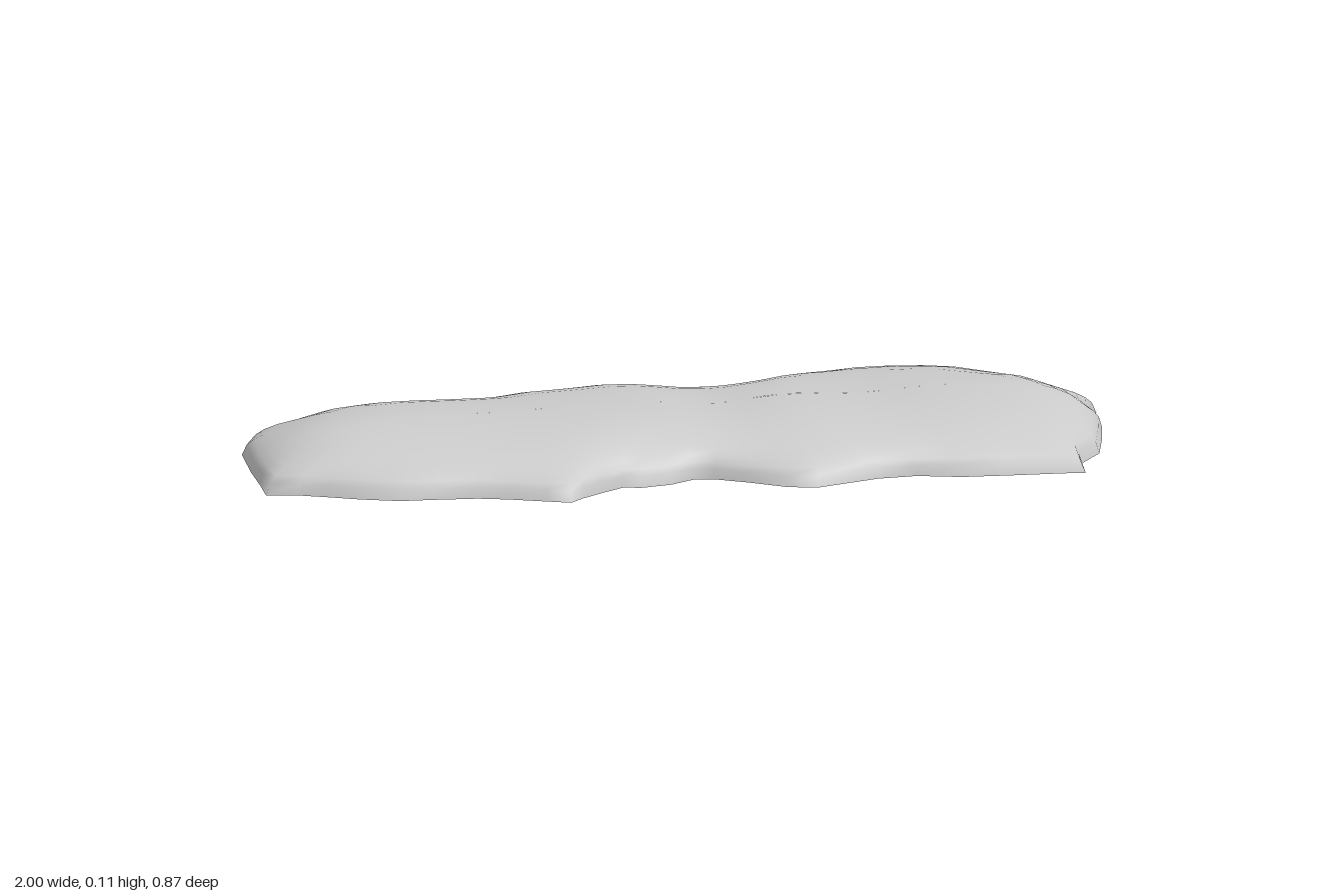
import * as THREE from 'three';

// Ragged footprint as x, z pairs: left end, along the back, right end, along the front
const FOOTPRINT = [
  -1, .14, -.99, .05, -.98, -.07, -.96, -.22, -.92, -.3, -.8, -.35, -.7, -.4, -.61, -.395,
  -.53, -.36, -.47, -.33, -.45, -.335, -.44, -.39, -.37, -.36, -.31, -.345, -.25, -.395, -.2, -.41,
  -.12, -.395, -.04, -.39, .03, -.415, .09, -.38, .12, -.33, .16, -.315, .25, -.295, .28, -.3,
  .3, -.35, .355, -.36, .375, -.42, .45, -.435, .55, -.43, .65, -.435, .73, -.385, .775, -.325,
  .85, -.305, .89, -.24, .89, -.15, .95, -.13, 1, -.075, .97, 0, .98, .05, .95, .16,
  .915, .27, .85, .35, .84, .43, .8, .42, .67, .405, .56, .39, .465, .355, .375, .355,
  .225, .395, .16, .375, .08, .31, .015, .265, -.03, .255, -.09, .285, -.165, .295, -.2, .28,
  -.26, .315, -.315, .35, -.35, .38, -.4, .355, -.48, .315, -.545, .29, -.64, .275, -.72, .265,
  -.8, .23, -.87, .19, -.935, .155,
];

// Averages each point with its neighbours around the closed outline
function smoothOutline(points, reach) {
  const n = points.length;
  return points.map((_, i) => {
    const sum = new THREE.Vector2();
    for (let k = -reach; k <= reach; k++) sum.add(points[(i + k + n) % n]);
    return sum.divideScalar(2 * reach + 1);
  });
}

// Gentle saddles between the humps along the ridge
const dip = (x, at, width, depth) => depth * Math.exp(-(((x - at) / width) ** 2));
const ridgeHeight = (x) =>
  0.114 - dip(x, 0.09, 0.1, 0.014) - dip(x, 0.43, 0.1, 0.008) - dip(x, -0.42, 0.15, 0.006);

// Domed top: rings shrink from the ragged edge to a central ridge line
function domeGeometry(edge) {
  const soft = smoothOutline(edge, 2);
  const n = edge.length;
  const steps = [0, 0.02, 0.05, 0.1, 0.17, 0.26, 0.38, 0.52, 0.68, 0.84, 1];
  const positions = [];
  const index = [];
  steps.forEach((t, r) => {
    const blend = Math.min(1, t * 5);
    for (let i = 0; i < n; i++) {
      const p = edge[i].clone().lerp(soft[i], blend);
      const ridge = new THREE.Vector2(soft[i].x * 0.68, -0.02 + 0.03 * soft[i].x);
      p.lerp(ridge, t);
      const rise = Math.sqrt(1 - (1 - t) ** 2.5);
      positions.push(p.x, ridgeHeight(p.x) * rise, p.y);
      if (r === 0) continue;
      const a = (r - 1) * n + i;
      const b = (r - 1) * n + ((i + 1) % n);
      index.push(a, a + n, b, b, a + n, b + n);
    }
  });
  const geometry = new THREE.BufferGeometry();
  geometry.setAttribute('position', new THREE.Float32BufferAttribute(positions, 3));
  geometry.setIndex(index);
  geometry.computeVertexNormals();
  return geometry;
}

export function createModel() {
  const group = new THREE.Group();
  group.name = 'mound';
  const material = new THREE.MeshStandardMaterial({ color: 0xcccccc });

  const edge = [];
  for (let i = 0; i < FOOTPRINT.length; i += 2) {
    edge.push(new THREE.Vector2(FOOTPRINT[i], FOOTPRINT[i + 1]));
  }

  const dome = new THREE.Mesh(domeGeometry(edge), material);
  dome.name = 'moundTop';

  // Flat underside facing down
  const baseGeometry = new THREE.ShapeGeometry(new THREE.Shape(edge));
  baseGeometry.rotateX(Math.PI / 2);
  const base = new THREE.Mesh(baseGeometry, material);
  base.name = 'flatBase';

  group.add(dome, base);
  return group;
}
